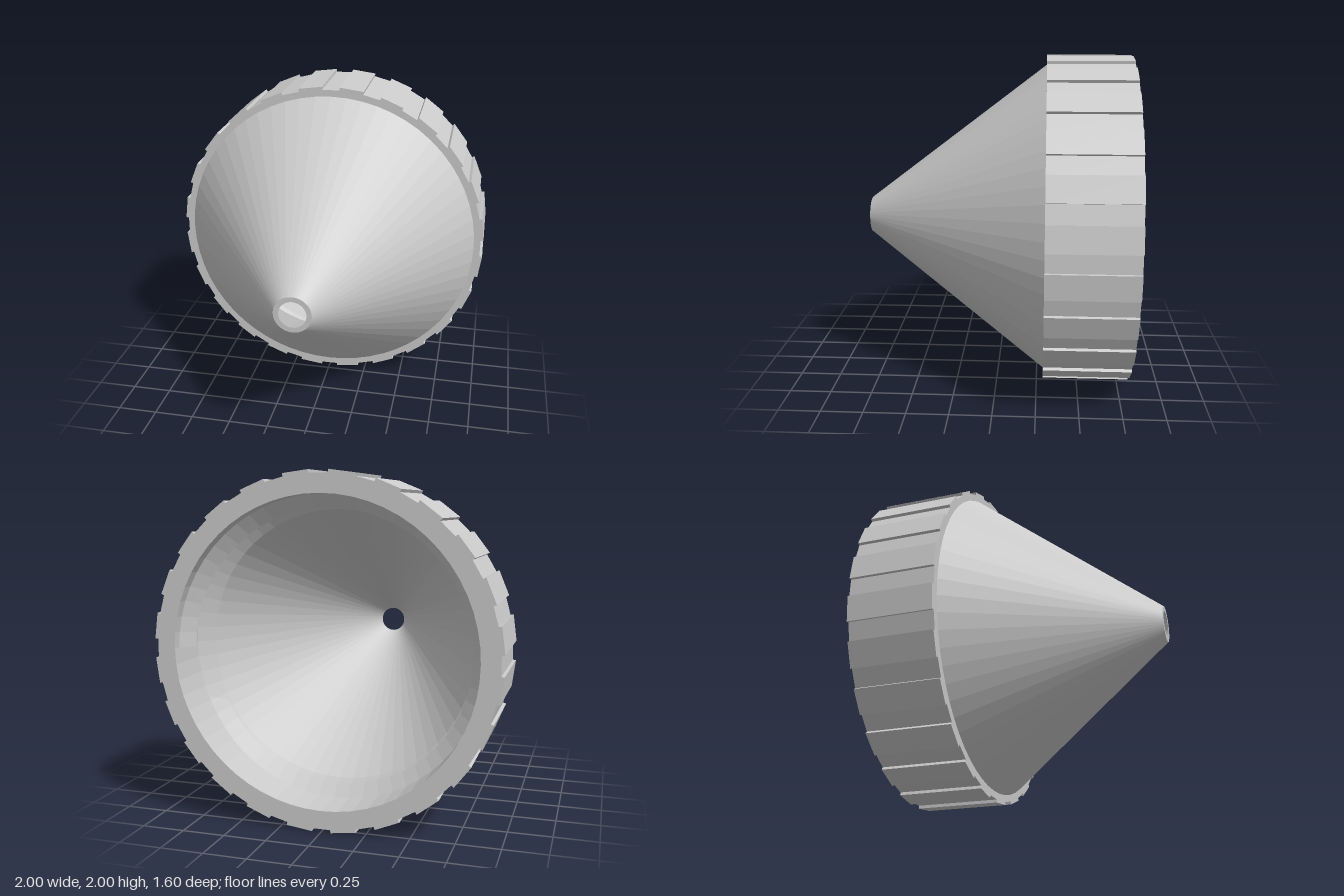
import * as THREE from 'three';

const BACK = -0.8, SHOULDER = -0.29, TIP = 0.8; // stations along z
const BORE = 0.875;
const SEGMENTS = 60;

const material = new THREE.MeshStandardMaterial({ color: 0xcccccc, flatShading: true });

function addPart(group, name, geometry) {
  const mesh = new THREE.Mesh(geometry, material);
  mesh.name = name;
  group.add(mesh);
}

// Screw collar: 24 grip ribs separated by shallow notches, open through the middle
function collarGeometry() {
  const shape = new THREE.Shape();
  const count = 24, floor = 0.982, halfNotch = THREE.MathUtils.degToRad(3.2);
  for (let i = 0; i < count; i++) {
    const mid = (i / count) * Math.PI * 2;
    const corners = [[1, -halfNotch], [floor, -halfNotch], [floor, halfNotch], [1, halfNotch]];
    corners.forEach(([r, offset], k) => {
      const x = r * Math.cos(mid + offset), y = r * Math.sin(mid + offset);
      if (i === 0 && k === 0) shape.moveTo(x, y);
      else shape.lineTo(x, y);
    });
  }
  shape.closePath();
  const hole = new THREE.Path();
  hole.absarc(0, 0, BORE, 0, Math.PI * 2, true);
  shape.holes.push(hole);
  const geometry = new THREE.ExtrudeGeometry(shape, {
    depth: SHOULDER - BACK, bevelEnabled: false, curveSegments: SEGMENTS / 2,
  });
  return geometry.translate(0, 0, BACK);
}

// Hollow cone with a small outlet at the tip and a sloped seat inside the collar
function coneGeometry() {
  const profile = [
    [0.79, -0.455], [BORE, -0.525], [BORE, SHOULDER], [0.94, SHOULDER],
    [0.11, TIP], [0.08, TIP], [0.79, -0.455],
  ].map(([r, z]) => new THREE.Vector2(r, z));
  return new THREE.LatheGeometry(profile, SEGMENTS).rotateX(Math.PI / 2);
}

// One turn of V-shaped thread, running from the back rim into the sloped seat
function threadGeometry() {
  const pitch = 0.24, start = BACK + 0.045;
  const section = [[0.88, 0], [0.8, 0.07], [0.88, 0.14]]; // radius, offset along z
  const sides = section.length;
  const positions = [], index = [];
  for (let i = 0; i <= SEGMENTS; i++) {
    const turn = i / SEGMENTS, angle = turn * Math.PI * 2;
    for (const [r, dz] of section) {
      positions.push(r * Math.cos(angle), r * Math.sin(angle), start + turn * pitch + dz);
    }
    if (i === SEGMENTS) break;
    for (let k = 0; k < sides; k++) {
      const a = i * sides + k, b = i * sides + (k + 1) % sides;
      index.push(a, b, a + sides, b, b + sides, a + sides);
    }
  }
  const end = SEGMENTS * sides;
  index.push(0, 2, 1, end, end + 1, end + 2);
  const geometry = new THREE.BufferGeometry();
  geometry.setAttribute('position', new THREE.Float32BufferAttribute(positions, 3));
  geometry.setIndex(index);
  geometry.computeVertexNormals();
  return geometry;
}

export function createModel() {
  const group = new THREE.Group();
  group.name = 'funnelCap';
  addPart(group, 'ribbedCollar', collarGeometry());
  addPart(group, 'funnelCone', coneGeometry());
  addPart(group, 'innerThread', threadGeometry());
  group.position.y = 1;
  return group;
}
